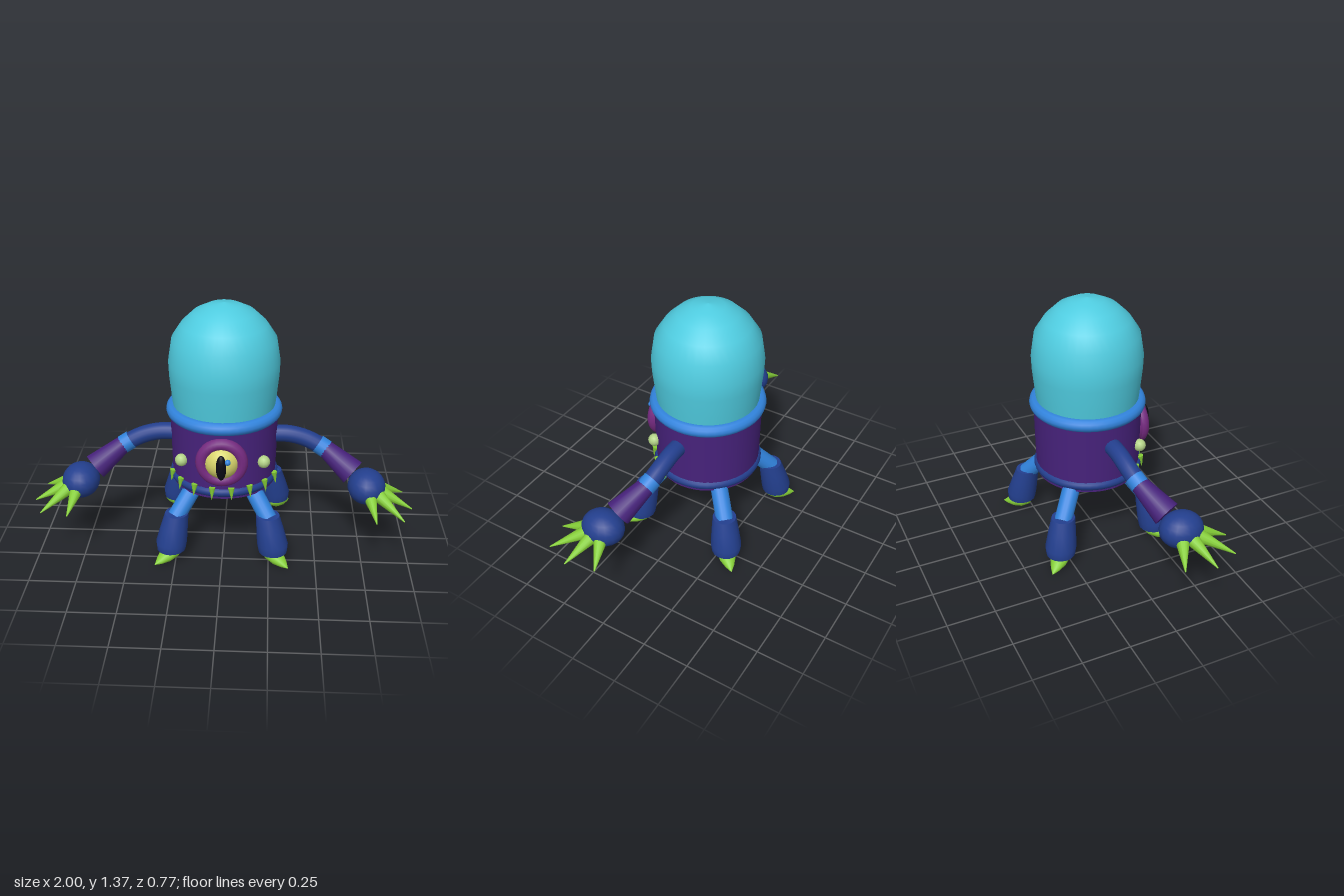
import * as THREE from 'three';

const mat = (name, color) => {
  const m = new THREE.MeshStandardMaterial({ color });
  m.name = name;
  return m;
};
const V = (x, y, z) => new THREE.Vector3(x, y, z);
const UP = V(0, 1, 0);
const CENTRE_Z = -0.015;

function add(parent, name, geometry, material, pos) {
  const m = new THREE.Mesh(geometry, material);
  m.name = name;
  if (pos) m.position.copy(pos);
  parent.add(m);
  return m;
}

// Tapered cylinder or cone running from a to b
function limb(parent, name, a, b, ra, rb, material, sides = 16) {
  const dir = b.clone().sub(a);
  const m = add(parent, name, new THREE.CylinderGeometry(rb, ra, dir.length(), sides), material,
    a.clone().add(b).multiplyScalar(0.5));
  m.quaternion.setFromUnitVectors(UP, dir.normalize());
  return m;
}

// Skin over elliptical stations [y, z, ru, rv] spanned by axes u and v
function loft(stations, u, v, sides = 16) {
  const pos = [], idx = [];
  stations.forEach(([y, z, ru, rv], j) => {
    for (let i = 0; i < sides; i++) {
      const t = (i / sides) * Math.PI * 2;
      const p = V(0, y, z).addScaledVector(u, ru * Math.cos(t)).addScaledVector(v, rv * Math.sin(t));
      pos.push(p.x, p.y, p.z);
      if (j === stations.length - 1) continue;
      const a = j * sides + i, a1 = j * sides + (i + 1) % sides;
      idx.push(a, a1, a + sides, a1, a1 + sides, a + sides);
    }
  });
  const g = new THREE.BufferGeometry();
  g.setAttribute('position', new THREE.Float32BufferAttribute(pos, 3));
  g.setIndex(idx);
  g.computeVertexNormals();
  return g;
}

export function createModel() {
  const teal = mat('dome teal', 0x4fcce0);
  const blue = mat('bright blue', 0x3183dc);
  const navy = mat('dark blue', 0x233f8e);
  const purple = mat('deep purple', 0x47227c);
  const plum = mat('eye rim plum', 0x752a80);
  const lime = mat('claw lime', 0x86cf38);
  const pale = mat('pale green', 0xb4d488);
  const yellow = mat('eye yellow', 0xd8d56c);
  const black = mat('pupil black', 0x0a0a14);

  const root = new THREE.Group();
  root.name = 'domedCreature';

  // Body, dome and rims share one axis
  const torso = new THREE.Group();
  torso.name = 'torso';
  torso.position.z = CENTRE_Z;
  root.add(torso);
  add(torso, 'body', new THREE.CylinderGeometry(0.287, 0.278, 0.4, 40), purple, V(0, 0.585, 0));
  const domeProfile = [[0.268, 0.79], [0.277, 0.87], [0.288, 0.98], [0.291, 1.06], [0.272, 1.18],
    [0.222, 1.257], [0.158, 1.318], [0.085, 1.354], [0, 1.368]].map(([r, y]) => new THREE.Vector2(r, y));
  add(torso, 'dome', new THREE.LatheGeometry(domeProfile, 40), teal);
  const rim = (name, r, tube, y, material) => {
    add(torso, name, new THREE.TorusGeometry(r, tube, 12, 48), material, V(0, y, 0)).rotation.x = Math.PI / 2;
  };
  rim('upperRim', 0.274, 0.034, 0.789, blue);
  rim('lowerRim', 0.265, 0.027, 0.42, navy);

  // Row of small teeth over the front of the lower rim
  for (let i = 0; i < 8; i++) {
    const t = THREE.MathUtils.degToRad(-70 + i * 20);
    const x = Math.sin(t), z = Math.cos(t);
    limb(torso, 'tooth', V(x * 0.288, 0.455, z * 0.288), V(x * 0.3, 0.385, z * 0.3), 0.018, 0, lime, 8);
  }

  // Single eye
  const eye = new THREE.Group();
  eye.name = 'eye';
  eye.position.set(0, 0.606, 0);
  root.add(eye);
  add(eye, 'eyeRim', new THREE.TorusGeometry(0.104, 0.032, 12, 32), plum, V(0, 0, 0.27));
  add(eye, 'eyeBacking', new THREE.CylinderGeometry(0.13, 0.13, 0.06, 32), plum, V(0, 0, 0.24)).rotation.x = Math.PI / 2;
  add(eye, 'eyeball', new THREE.SphereGeometry(0.096, 24, 16), yellow, V(0, 0, 0.245));
  add(eye, 'pupil', new THREE.SphereGeometry(1, 16, 12), black, V(0, 0, 0.332)).scale.set(0.027, 0.07, 0.022);
  add(eye, 'eyeGlint', new THREE.SphereGeometry(0.016, 12, 8), blue, V(0.033, 0.032, 0.332));

  // Arms, with side +1 for the left
  for (const s of [1, -1]) {
    const arm = new THREE.Group();
    arm.name = s > 0 ? 'leftArm' : 'rightArm';
    root.add(arm);
    const P = (x, y, z) => V(s * x, y, z);
    add(arm, 'cheekKnob', new THREE.SphereGeometry(0.034, 12, 8), pale, P(0.215, 0.572, 0.19));

    const path = new THREE.CatmullRomCurve3([P(0.24, 0.645, 0), P(0.35, 0.643, 0), P(0.44, 0.62, 0.003), P(0.53, 0.577, 0.015)]);
    add(arm, 'upperArm', new THREE.TubeGeometry(path, 16, 0.046, 16), navy);
    limb(arm, 'elbowBand', P(0.503, 0.592, 0.009), P(0.548, 0.566, 0.022), 0.05, 0.05, blue);
    limb(arm, 'forearm', P(0.535, 0.576, 0.017), P(0.69, 0.467, 0.096), 0.046, 0.073, purple);
    add(arm, 'hand', new THREE.SphereGeometry(1, 18, 12), navy, P(0.762, 0.412, 0.14)).scale.set(0.1, 0.093, 0.115);

    const palm = P(0.762, 0.425, 0.138);
    for (const tip of [P(0.968, 0.328, 0.05), P(1, 0.32, 0.21), P(0.945, 0.322, 0.345), P(0.8, 0.325, 0.378)]) {
      limb(arm, 'finger', palm.clone().lerp(tip, 0.28), tip, 0.038, 0.003, lime, 12);
    }
  }

  // Legs on the diagonals, each built pointing along its local +z
  const X = V(1, 0, 0), Z = V(0, 0, 1);
  const calfGeo = loft([[0.272, 0.343, 0, 0], [0.272, 0.343, 0.062, 0.062], [0.272, 0.343, 0.063, 0.063],
    [0.2, 0.362, 0.073, 0.073], [0.115, 0.383, 0.083, 0.083], [0.07, 0.386, 0.077, 0.077],
    [0.07, 0.386, 0.076, 0.076], [0.07, 0.386, 0, 0]], X, Z);
  const clawGeo = loft([[0.058, 0.325, 0, 0], [0.058, 0.335, 0.03, 0.025], [0.052, 0.375, 0.05, 0.042],
    [0.038, 0.425, 0.045, 0.036], [0.022, 0.47, 0.024, 0.019], [0.01, 0.505, 0, 0]], X, UP);
  for (const deg of [45, -45, 135, -135]) {
    const back = Math.abs(deg) > 90;
    const leg = new THREE.Group();
    leg.name = (back ? 'back' : 'front') + (deg > 0 ? 'LeftLeg' : 'RightLeg');
    leg.rotation.y = THREE.MathUtils.degToRad(deg);
    leg.position.set(0, 0, CENTRE_Z);
    leg.translateZ(back ? 0.022 : 0);
    root.add(leg);
    limb(leg, 'thigh', V(0, 0.42, 0.185), V(0, 0.25, 0.348), 0.047, 0.047, blue);
    add(leg, 'calf', calfGeo, navy);
    add(leg, 'footClaw', clawGeo, lime);
  }
  return root;
}
